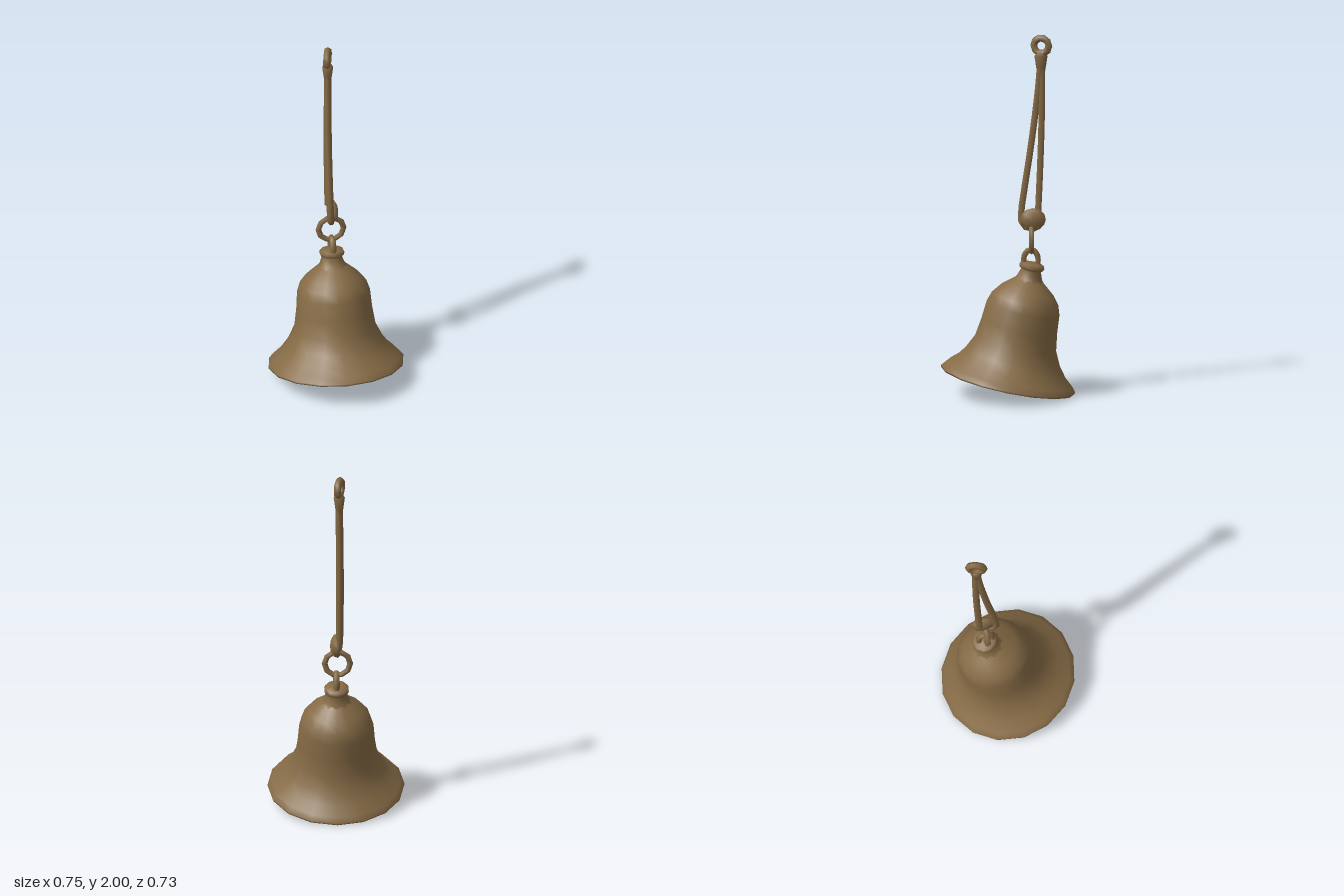
import * as THREE from 'three';

const v2 = (p) => new THREE.Vector2(p[0], p[1]);
const v3 = (p) => new THREE.Vector3(p[0], p[1], p[2]);

export function createModel() {
  const model = new THREE.Group();
  const bronze = new THREE.MeshStandardMaterial({ color: 0x856a45 });
  bronze.name = 'agedBronze';

  function add(parent, name, geometry, position = [0, 0, 0]) {
    const mesh = new THREE.Mesh(geometry, bronze);
    mesh.name = name;
    mesh.position.set(...position);
    parent.add(mesh);
    return mesh;
  }

  // Tilted bell: inner wall from crown to lip, then outer wall up to the shoulder
  const bell = new THREE.Group();
  bell.name = 'bell';
  bell.position.y = 0.08;
  bell.rotation.x = -0.205;
  model.add(bell);
  const wall = [
    [0, 0.5], [0.13, 0.48], [0.175, 0.42], [0.185, 0.31], [0.205, 0.2],
    [0.25, 0.12], [0.3, 0.06], [0.355, 0.005], [0.373, -0.002], [0.374, 0.008],
    [0.352, 0.035], [0.305, 0.077], [0.262, 0.135], [0.226, 0.21], [0.211, 0.31],
    [0.203, 0.41], [0.185, 0.465], [0.15, 0.51], [0.105, 0.548], [0.072, 0.575],
  ].map(v2);
  add(bell, 'bellBody', new THREE.LatheGeometry(wall, 16));

  // Neck and collar on the crown
  const neck = [
    [0.088, 0.56], [0.07, 0.582], [0.055, 0.625], [0.066, 0.632],
    [0.07, 0.645], [0.064, 0.66], [0.035, 0.668], [0, 0.668],
  ].map(v2);
  add(bell, 'neckCollar', new THREE.LatheGeometry(neck, 10));

  // Staple on the crown, standing in the side plane
  const staple = new THREE.CatmullRomCurve3([
    [0, 0.71, -0.09], [0, 0.765, -0.088], [0, 0.8, -0.11],
    [0, 0.8, -0.142], [0, 0.765, -0.164], [0, 0.71, -0.162],
  ].map(v3));
  add(model, 'crownLoop', new THREE.TubeGeometry(staple, 12, 0.017, 6, false));

  // Link ring, facing the front
  add(model, 'linkRing', new THREE.TorusGeometry(0.07, 0.016, 6, 10), [-0.005, 0.865, -0.13]);

  // Two strands: a slack front one that wraps under the ring, a straight back one
  const frontStrand = new THREE.CatmullRomCurve3([
    [-0.012, 1.88, -0.178], [-0.015, 1.75, -0.17], [-0.018, 1.58, -0.152],
    [-0.02, 1.35, -0.122], [-0.02, 1.15, -0.092], [-0.018, 1.0, -0.073],
    [-0.014, 0.945, -0.08], [-0.005, 0.92, -0.125], [0.006, 0.94, -0.17],
  ].map(v3));
  add(model, 'frontStrand', new THREE.TubeGeometry(frontStrand, 26, 0.02, 6, false));
  const backStrand = new THREE.CatmullRomCurve3([
    [-0.012, 1.88, -0.183], [-0.014, 1.7, -0.186], [-0.017, 1.5, -0.184],
    [-0.017, 1.25, -0.176], [-0.015, 1.0, -0.165],
  ].map(v3));
  add(model, 'backStrand', new THREE.TubeGeometry(backStrand, 14, 0.02, 6, false));

  // Knot around the top of the ring
  const knot = add(model, 'knot', new THREE.SphereGeometry(1, 8, 6), [0.004, 0.975, -0.138]);
  knot.scale.set(0.032, 0.062, 0.07);

  // Flattened hanging eye at the top, turned slightly, with a tapered root
  const eye = add(model, 'hangingEye', new THREE.TorusGeometry(0.043, 0.02, 6, 10), [-0.015, 1.938, -0.183]);
  eye.rotation.y = Math.PI / 2 - 0.3;
  const root = [[0, -0.1], [0.022, -0.09], [0.036, 0], [0.02, 0.025], [0, 0.03]].map(v2);
  const taper = add(model, 'eyeRoot', new THREE.LatheGeometry(root, 8), [-0.014, 1.88, -0.181]);
  taper.scale.set(0.85, 1, 1);

  return model;
}
